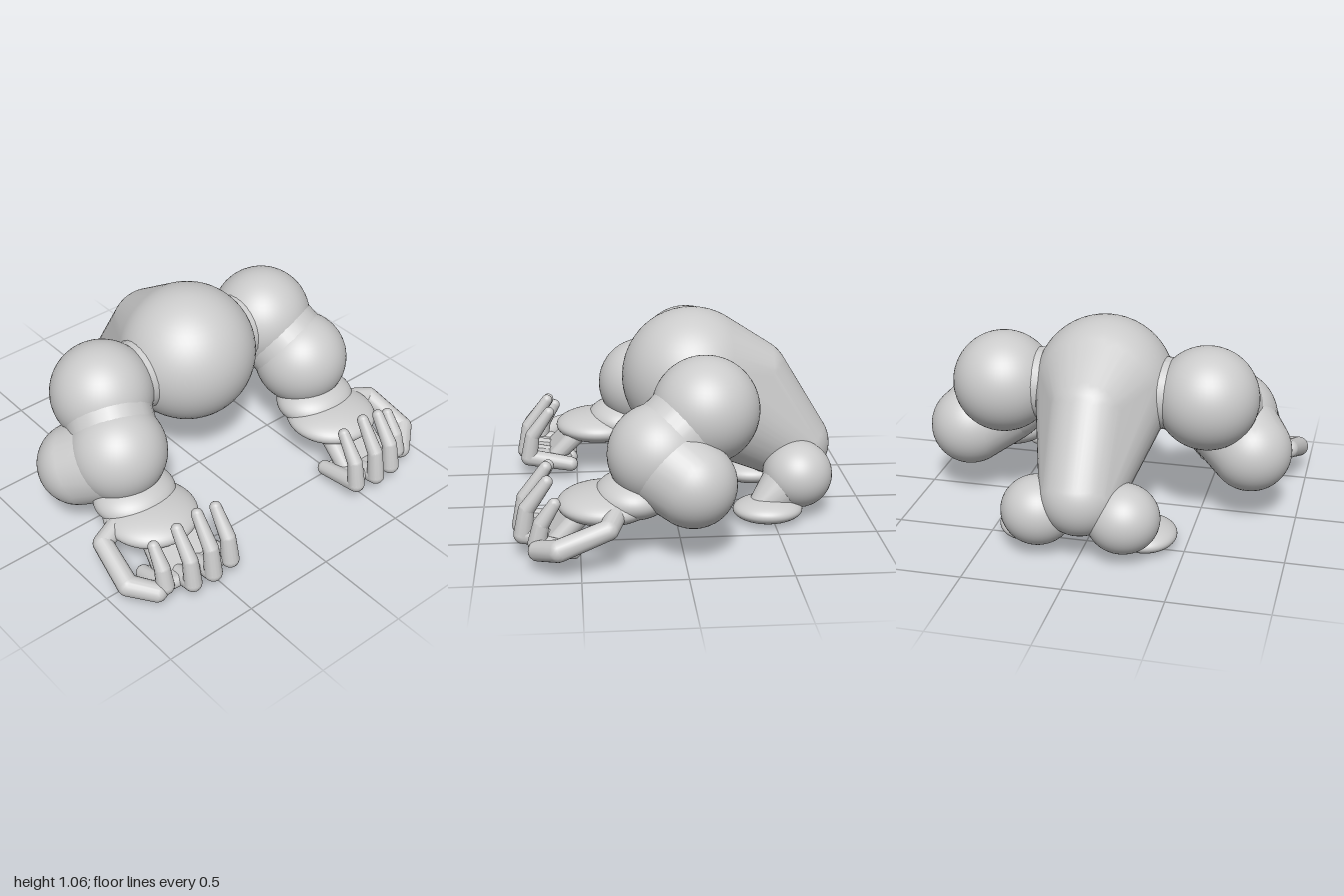
import * as THREE from 'three';
import { ConvexGeometry } from 'three/addons/geometries/ConvexGeometry.js';
import { mergeVertices } from 'three/addons/utils/BufferGeometryUtils.js';

const material = new THREE.MeshStandardMaterial({ color: 0xcccccc });

function add(parent, name, geometry) {
  const mesh = new THREE.Mesh(geometry, material);
  mesh.name = name;
  parent.add(mesh);
  return mesh;
}

// Smooth skin stretched over balls given as [x, y, z, radius]
function hull(balls, detail = 24) {
  const points = [];
  for (const [x, y, z, r] of balls) {
    const rows = Math.round(detail * 0.6);
    for (let i = 0; i <= rows; i++) {
      const phi = (i / rows) * Math.PI;
      const count = i === 0 || i === rows ? 1 : detail;
      for (let j = 0; j < count; j++) {
        const t = ((j + (i % 2) / 2) / detail) * Math.PI * 2;
        points.push(new THREE.Vector3(
          x + r * Math.sin(phi) * Math.cos(t),
          y + r * Math.cos(phi),
          z + r * Math.sin(phi) * Math.sin(t)));
      }
    }
  }
  const raw = new ConvexGeometry(points);
  raw.deleteAttribute('normal');
  const geometry = mergeVertices(raw, 1e-5);
  geometry.computeVertexNormals();
  return geometry;
}

function ellipsoid(parent, name, [x, y, z], [rx, ry, rz]) {
  const mesh = add(parent, name, new THREE.SphereGeometry(1, 48, 32));
  mesh.position.set(x, y, z);
  mesh.scale.set(rx, ry, rz);
  return mesh;
}

// Chain of tapered, round-ended segments through a list of balls
function limb(parent, name, balls) {
  const group = new THREE.Group();
  group.name = name;
  parent.add(group);
  for (let i = 0; i < balls.length - 1; i++) {
    add(group, name + 'Segment' + (i + 1), hull([balls[i], balls[i + 1]], 16));
  }
}

function buildArm(side) {
  const arm = new THREE.Group();
  arm.name = side > 0 ? 'leftArm' : 'rightArm';
  const m = ([x, ...rest]) => [side * x, ...rest];

  add(arm, 'shoulderJoint', hull([[0.2, 0.69, -0.11, 0.185], [0.5, 0.68, -0.12, 0.185]].map(m)));
  ellipsoid(arm, 'shoulder', m([0.535, 0.68, -0.12]), [0.265, 0.265, 0.265]);
  ellipsoid(arm, 'upperArm', m([0.62, 0.49, 0.115]), [0.25, 0.25, 0.25]);
  add(arm, 'upperArmJoint', hull([[0.55, 0.65, -0.08, 0.225], [0.61, 0.51, 0.09, 0.225]].map(m)));
  add(arm, 'elbow', hull([[0.62, 0.47, 0.11, 0.235], [0.755, 0.38, -0.04, 0.212]].map(m), 40));

  // Flat forearm with a thicker root under the upper arm
  ellipsoid(arm, 'forearm', m([0.62, 0.25, 0.37]), [0.24, 0.085, 0.24]);
  ellipsoid(arm, 'forearmRoot', m([0.62, 0.29, 0.24]), [0.22, 0.11, 0.19]);

  // Wrist and palm
  add(arm, 'wrist', hull([[0.5, 0.22, 0.5, 0.05], [0.72, 0.22, 0.5, 0.05],
    [0.5, 0.1, 0.62, 0.045], [0.74, 0.1, 0.62, 0.045]].map(m), 16));
  add(arm, 'palm', hull([[0.43, 0.08, 0.56, 0.035], [0.78, 0.08, 0.56, 0.035],
    [0.44, 0.11, 0.73, 0.035], [0.78, 0.1, 0.69, 0.035]].map(m), 16));

  // Curled fingers: x, forward shift, tip height
  const fingers = [[0.435, -0.02, 0.38], [0.56, 0, 0.415], [0.68, -0.01, 0.385], [0.795, -0.08, 0.315]];
  fingers.forEach(([x, dz, tip], i) => {
    limb(arm, 'finger' + (i + 1), [
      [x, 0.075, 0.535, 0.04],
      [x, 0.12, 0.785 + dz, 0.046],
      [x, 0.12 + (tip - 0.12) * 0.48, 0.765 + dz, 0.04],
      [x, tip, 0.66 + dz * 0.5, 0.03],
    ].map(m));
  });

  // Thumb looping from the outer palm back beside the forearm
  limb(arm, 'thumb', [
    [0.78, 0.1, 0.68, 0.045],
    [0.84, 0.1, 0.7, 0.05],
    [0.945, 0.14, 0.605, 0.054],
    [0.915, 0.225, 0.37, 0.05],
    [0.8, 0.25, 0.33, 0.05],
  ].map(m));
  return arm;
}

function buildLeg(side) {
  const leg = new THREE.Group();
  leg.name = side > 0 ? 'leftLeg' : 'rightLeg';
  const m = ([x, ...rest]) => [side * x, ...rest];
  ellipsoid(leg, 'thigh', m([0.215, 0.22, -0.635]), [0.185, 0.175, 0.18]);
  add(leg, 'ankle', hull([[0.23, 0.2, -0.6, 0.14], [0.29, 0.085, -0.45, 0.075]].map(m)));
  ellipsoid(leg, 'foot', m([0.3, 0.065, -0.47]), [0.155, 0.065, 0.18]);
  return leg;
}

export function createModel() {
  const model = new THREE.Group();
  model.name = 'crouchingBody';

  // Torso: chest, lower back and pelvis under one skin
  add(model, 'torso', hull([
    [0, 0.7, -0.1, 0.36],
    [0, 0.68, -0.4, 0.215],
    [0, 0.32, -0.635, 0.2],
  ], 48));

  for (const side of [1, -1]) model.add(buildArm(side), buildLeg(side));
  return model;
}
